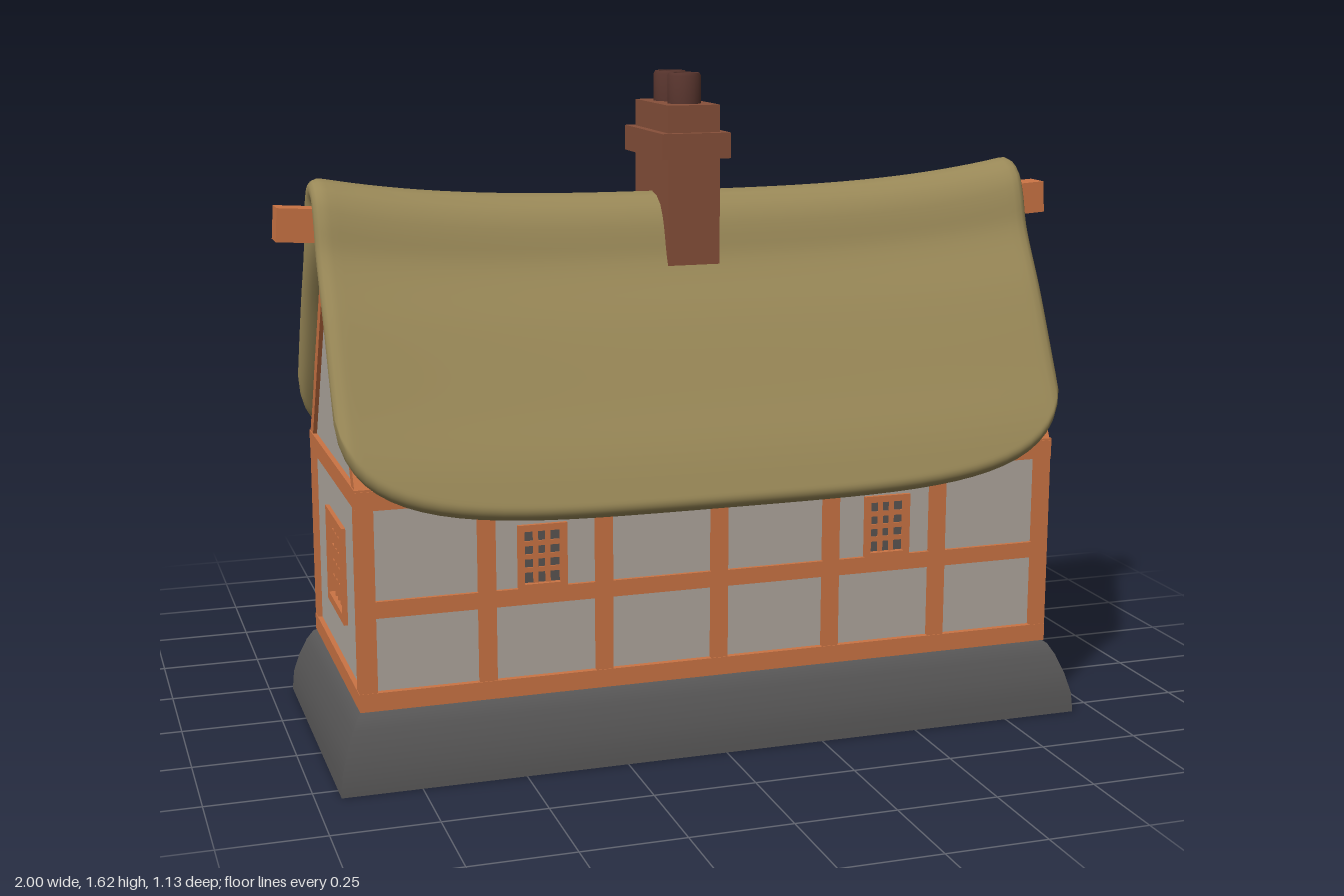
import * as THREE from 'three';
import { mergeVertices, toCreasedNormals } from 'three/addons/utils/BufferGeometryUtils.js';

const CZ = 0.157; // the house is set forward of the origin, to balance the steps

export function createModel() {
  const house = new THREE.Group();
  house.name = 'cottage';
  const mat = (name, color, side = THREE.FrontSide) => {
    const m = new THREE.MeshStandardMaterial({ color, side });
    m.name = name;
    return m;
  };
  const timber = mat('timber', 0xcb7444);
  const plaster = mat('plaster', 0xb0a79e);
  const stone = mat('stone', 0x575656, THREE.DoubleSide);
  const thatch = mat('thatch', 0x9a8958);
  const brick = mat('brick', 0x87503a);
  const clay = mat('clay', 0x57342d, THREE.DoubleSide);
  const glass = mat('glass', 0x5a5552);

  const add = (name, geo, material, parent = house) => {
    const m = new THREE.Mesh(geo, material);
    m.name = name;
    parent.add(m);
    return m;
  };
  // box given by its limits on each axis
  const box = (name, material, x0, x1, y0, y1, z0, z1, parent = house) => {
    const m = add(name, new THREE.BoxGeometry(x1 - x0, y1 - y0, z1 - z0), material, parent);
    m.position.set((x0 + x1) / 2, (y0 + y1) / 2, (z0 + z1) / 2);
    return m;
  };
  const shapeOf = pts => new THREE.Shape(pts.map(p => new THREE.Vector2(...p)));
  const rect = (x0, x1, y0, y1) => [[x0, y0], [x1, y0], [x1, y1], [x0, y1]];

  // flared, hollow stone plinth
  const rings = [[0.06, 0], [0.056, 0.05], [0.042, 0.1], [0.024, 0.145], [0.008, 0.172], [-0.005, 0.18]]
    .map(([o, y]) => [[1, 1], [1, -1], [-1, -1], [-1, 1]]
      .map(([sx, sz]) => [sx * (0.88 + o), y, CZ + sz * (0.332 + o)]));
  const pos = [];
  for (let r = 0; r < rings.length - 1; r++) {
    for (let c = 0; c < 4; c++) {
      const d = (c + 1) % 4;
      const [a, b, e, f] = [rings[r][c], rings[r][d], rings[r + 1][d], rings[r + 1][c]];
      pos.push(...a, ...b, ...e, ...a, ...e, ...f);
    }
  }
  const plinth = new THREE.BufferGeometry();
  plinth.setAttribute('position', new THREE.Float32BufferAttribute(pos, 3));
  add('plinth', toCreasedNormals(plinth, 0.7), stone);

  // back steps, hollow underneath
  const steps = new THREE.ExtrudeGeometry(shapeOf([
    [-0.175, 0], [-0.175, 0.181], [-0.37, 0.178], [-0.392, 0.17], [-0.402, 0.125], [-0.415, 0.115],
    [-0.475, 0.112], [-0.492, 0.1], [-0.5, 0.065], [-0.515, 0.055], [-0.55, 0.052], [-0.565, 0.04], [-0.572, 0],
  ]), { depth: 0.31, bevelEnabled: false });
  steps.rotateY(-Math.PI / 2).translate(0.31, 0, 0);
  const sp = steps.attributes.position, kept = [];
  for (let i = 0; i < sp.count; i += 3) {
    const k = [i, i + 1, i + 2];
    if (k.every(j => sp.getY(j) < 0.001) || k.every(j => sp.getZ(j) > -0.176)) continue;
    k.forEach(j => kept.push(sp.getX(j), sp.getY(j), sp.getZ(j)));
  }
  const stepGeo = new THREE.BufferGeometry();
  stepGeo.setAttribute('position', new THREE.Float32BufferAttribute(kept, 3));
  add('steps', toCreasedNormals(stepGeo, 0.7), stone);

  // lattice window centred on its own origin
  const latticeWindow = (name, w, h, frame, bar, cols, rows, pane) => {
    const g = new THREE.Group();
    g.name = name;
    for (const s of [-1, 1]) {
      const x = s * (w - frame) / 2, y = s * (h - frame) / 2, f = frame / 2;
      box('windowFrame', timber, x - f, x + f, -h / 2, h / 2, -0.018, 0.018, g);
      box('windowFrame', timber, -w / 2 + frame, w / 2 - frame, y - f, y + f, -0.018, 0.018, g);
    }
    const iw = w - 2 * frame, ih = h - 2 * frame, b = bar / 2;
    for (let i = 1; i < cols; i++) {
      const x = -iw / 2 + iw * i / cols;
      box('windowBar', timber, x - b, x + b, -ih / 2, ih / 2, -0.008, 0.008, g);
    }
    for (let i = 1; i < rows; i++) {
      const y = -ih / 2 + ih * i / rows;
      box('windowBar', timber, -iw / 2, iw / 2, y - b, y + b, -0.007, 0.007, g);
    }
    if (pane) box('windowPane', glass, -iw / 2, iw / 2, -ih / 2, ih / 2, -0.003, 0.003, g);
    house.add(g);
    return g;
  };

  // long walls with their timber frame and windows, front and back
  for (const s of [1, -1]) {
    const side = s > 0 ? 'front' : 'back';
    const outer = CZ + s * 0.333, inner = CZ + s * 0.293;
    const beam = (name, x0, x1, y0, y1, out = 0) =>
      box(name, timber, x0, x1, y0, y1, Math.min(outer + s * out, inner), Math.max(outer + s * out, inner));
    const wall = shapeOf(rect(-0.86, 0.86, 0.18, 0.7));
    for (const x of [-0.44, 0.44]) {
      wall.holes.push(new THREE.Path(rect(x - 0.055, x + 0.055, 0.445, 0.59).map(p => new THREE.Vector2(...p))));
      latticeWindow(side + 'Window', 0.12, 0.16, 0.016, 0.012, 3, 4, true).position.set(x, 0.515, CZ + s * 0.312);
    }
    add(side + 'Wall', new THREE.ExtrudeGeometry(wall, { depth: 0.02, bevelEnabled: false }), plaster)
      .position.z = CZ + s * 0.31 - 0.01;
    for (const x of [-0.575, -0.29, 0, 0.29, 0.575]) beam(side + 'Post', x - 0.021, x + 0.021, 0.22, 0.665);
    for (const x of [-0.86, 0.86]) beam('cornerPost', x - 0.021, x + 0.021, 0.22, 0.665, 0.001);
    beam(side + 'Sill', -0.88, 0.88, 0.18, 0.224, 0.002);
    beam(side + 'WallPlate', -0.88, 0.88, 0.66, 0.705, 0.002);
    const spans = s > 0 ? [[-0.84, 0.84]] : [[-0.84, 0], [0.29, 0.84]];
    for (const [a, b] of spans) beam(side + 'Rail', a, b, 0.402, 0.442, -0.003);
  }

  // back door between two posts
  const bz = CZ - 0.333;
  for (let i = 0; i < 3; i++) {
    const x = 0.062 + i * 0.056;
    box('doorPlank', timber, x, x + 0.054, 0.22, 0.6, bz + 0.012, bz + 0.035);
  }
  for (const x of [0.02, 0.23]) box('doorJamb', timber, x, x + 0.04, 0.22, 0.62, bz - 0.006, bz + 0.04);
  box('doorLintel', timber, 0.02, 0.27, 0.595, 0.63, bz - 0.008, bz + 0.04);

  // gable walls, end frames and ridge beam
  for (const s of [1, -1]) {
    const x0 = s > 0 ? 0.842 : -0.882, x1 = x0 + 0.04;
    const wall = shapeOf([[CZ - 0.315, 0.18], [CZ + 0.315, 0.18], [CZ + 0.315, 0.7], [CZ, 1.25], [CZ - 0.315, 0.7]]);
    wall.holes.push(new THREE.Path(rect(CZ - 0.11, CZ + 0.11, 0.335, 0.555).map(p => new THREE.Vector2(...p))));
    const geo = new THREE.ExtrudeGeometry(wall, { depth: 0.02, bevelEnabled: false });
    geo.rotateY(-Math.PI / 2).translate(s * 0.86 + 0.01, 0, 0);
    add('gableWall', geo, plaster);
    const win = latticeWindow('endWindow', 0.24, 0.24, 0.022, 0.012, 5, 5, false);
    win.position.set(s * 0.862, 0.445, CZ);
    win.rotation.y = Math.PI / 2;
    box('endSill', timber, x0, x1, 0.18, 0.222, CZ - 0.333, CZ + 0.333);
    box('tieBeam', timber, x0, x1 + 0.001, 0.664, 0.71, CZ - 0.333, CZ + 0.333);
    for (const d of [1, -1]) {
      const rafter = new THREE.ExtrudeGeometry(
        shapeOf([[CZ + d * 0.333, 0.7], [CZ + d * 0.291, 0.7], [CZ, 1.226], [CZ, 1.295]]),
        { depth: 0.036, bevelEnabled: false });
      rafter.rotateY(-Math.PI / 2).translate(x1 - 0.002, 0, 0);
      add('rafter', rafter, timber);
    }
    const ridge = add('ridgeBeam', new THREE.BoxGeometry(0.98, 0.08, 0.068), timber);
    ridge.position.set(s * 0.507, 1.254, CZ);
    ridge.rotation.z = s * 0.062;
  }

  // thatch: a padded sheet over a sagging ridge, with rounded corners
  const half = [[0.385, 0.615], [0.335, 0.745], [0.272, 0.87], [0.178, 1.06], [0.092, 1.215], [0.066, 1.3], [0.042, 1.345]];
  const curve = new THREE.CatmullRomCurve3([
    ...half.map(([d, y]) => new THREE.Vector3(0, y, CZ + d)),
    new THREE.Vector3(0, 1.362, CZ),
    ...half.slice().reverse().map(([d, y]) => new THREE.Vector3(0, y, CZ - d)),
  ]);
  const NX = 44, NS = 110, HALF_WIDTH = 0.915, PAD = 0.031, halfLength = curve.getLength() / 2;
  const taper = e => e >= PAD ? 1 : Math.sqrt(Math.max(0, 1 - ((PAD - e) / PAD) ** 2));
  const verts = [], index = [];
  for (let i = 0; i <= NX; i++) {
    const u = Math.sin((i / NX - 0.5) * Math.PI), x = u * HALF_WIDTH;
    const reach = 1 - 0.45 * (1 - Math.pow(Math.max(0, 1 - u ** 4), 0.25));
    for (let j = 0; j <= NS; j++) {
      const v = Math.sin((j / NS - 0.5) * Math.PI);
      const t = THREE.MathUtils.clamp(0.5 + 0.5 * v * reach, 0, 1);
      const p = curve.getPointAt(t), q = curve.getTangentAt(t);
      const sag = 0.062 * (1 - Math.abs(u) ** 3) * THREE.MathUtils.clamp((p.y - 0.6) / 0.76, 0, 1);
      const f = PAD * Math.min(taper(HALF_WIDTH - Math.abs(x)), taper((1 - Math.abs(v)) * reach * halfLength));
      for (const k of [f, -f]) verts.push(x, p.y - sag - q.z * k, p.z + q.y * k);
    }
  }
  const at = (i, j, k) => (i * (NS + 1) + j) * 2 + k;
  for (let i = 0; i < NX; i++) {
    for (let j = 0; j < NS; j++) {
      for (const k of [0, 1]) {
        const [a, b, c, d] = [at(i, j, k), at(i + 1, j, k), at(i + 1, j + 1, k), at(i, j + 1, k)];
        index.push(...(k ? [a, c, b, a, d, c] : [a, b, c, a, c, d]));
      }
    }
  }
  let roof = new THREE.BufferGeometry();
  roof.setAttribute('position', new THREE.Float32BufferAttribute(verts, 3));
  roof.setIndex(index);
  roof = mergeVertices(roof, 1e-5);
  roof.computeVertexNormals();
  add('thatchRoof', roof, thatch);

  // chimney with collar and two pots
  const cz = 0.152;
  box('chimneyShaft', brick, -0.066, 0.066, 1.06, 1.43, cz - 0.134, cz + 0.134);
  box('chimneyCollar', brick, -0.087, 0.087, 1.42, 1.482, cz - 0.154, cz + 0.154);
  box('chimneyTop', brick, -0.066, 0.066, 1.48, 1.548, cz - 0.132, cz + 0.132);
  const potProfile = [[0.041, 1.54], [0.041, 1.615], [0.037, 1.622], [0.028, 1.622], [0.026, 1.615], [0.026, 1.552], [0, 1.552]];
  for (const d of [-0.055, 0.055]) {
    const pot = new THREE.LatheGeometry(potProfile.map(p => new THREE.Vector2(...p)), 20);
    add('chimneyPot', toCreasedNormals(pot, 0.6), clay).position.z = cz + d;
  }
  return house;
}
